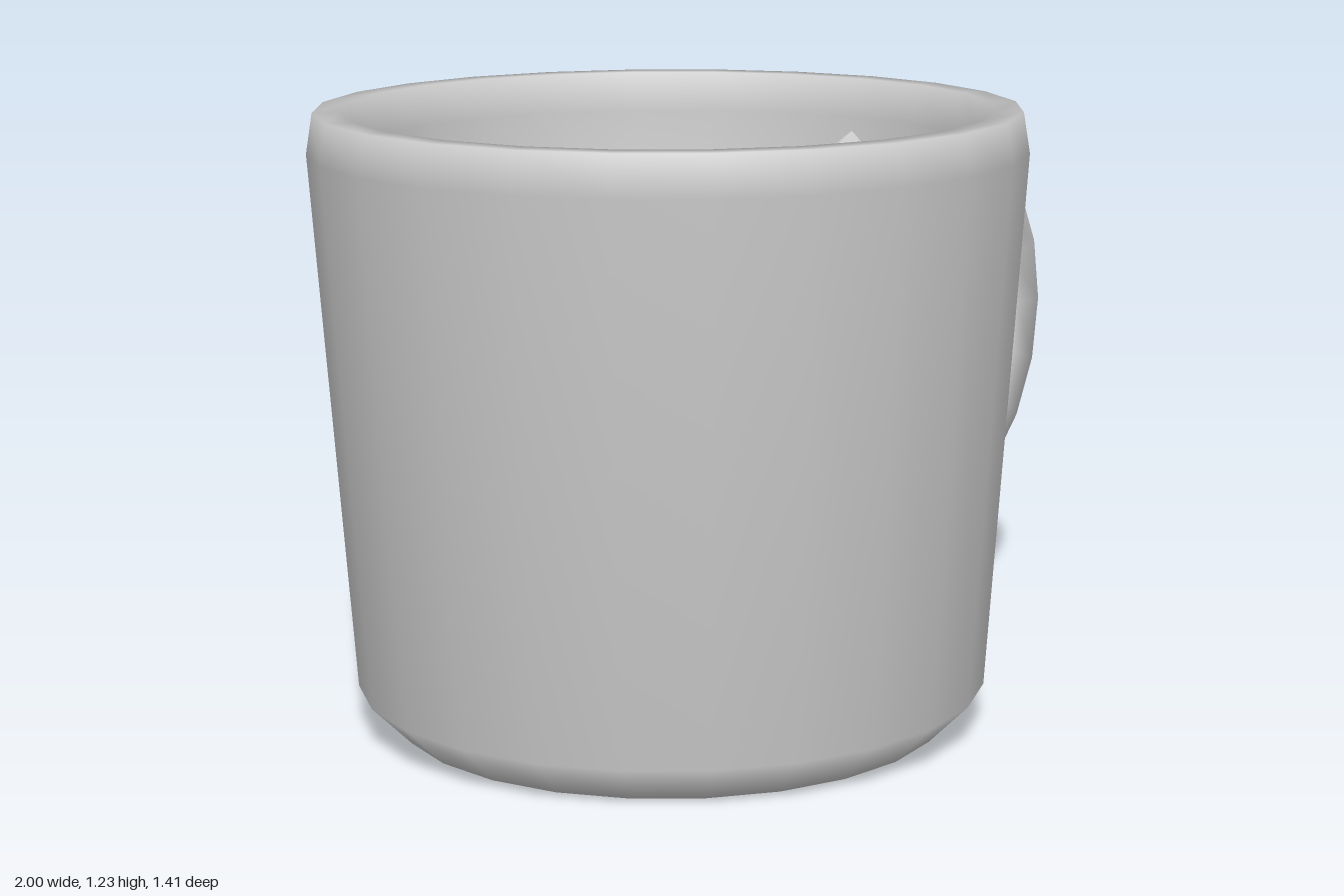
import * as THREE from 'three';

const CUP_X = -0.295; // cup axis, set left so the handle balances it

export function createModel() {
  const group = new THREE.Group();
  const ceramic = new THREE.MeshStandardMaterial({ color: 0xcccccc });
  const coffee = new THREE.MeshStandardMaterial({ color: 0x3a261d });

  const add = (name, geometry, material, x, y) => {
    const mesh = new THREE.Mesh(geometry, material);
    mesh.name = name;
    mesh.position.set(x, y, 0);
    group.add(mesh);
    return mesh;
  };

  // Cup: up the outer wall, over the bevelled rim, down to the inner floor
  const profile = [
    [0, 0], [0.55, 0], [0.63, 0.08], [0.705, 1.15], [0.692, 1.23],
    [0.64, 1.23], [0.622, 1.15], [0.55, 0.1], [0, 0.08],
  ].map(([r, y]) => new THREE.Vector2(r, y));
  add('cup', new THREE.LatheGeometry(profile, 24), ceramic, CUP_X, 0);

  // Handle: a full six-sided ring passing through the cup wall
  add('handle', new THREE.TorusGeometry(0.393, 0.09, 6, 20), ceramic, 0.515, 0.682);

  // Drink: eight-sided surface inside the cup
  const surface = new THREE.CircleGeometry(0.575, 8).rotateX(-Math.PI / 2);
  add('drinkSurface', surface, coffee, CUP_X, 0.77);

  return group;
}
